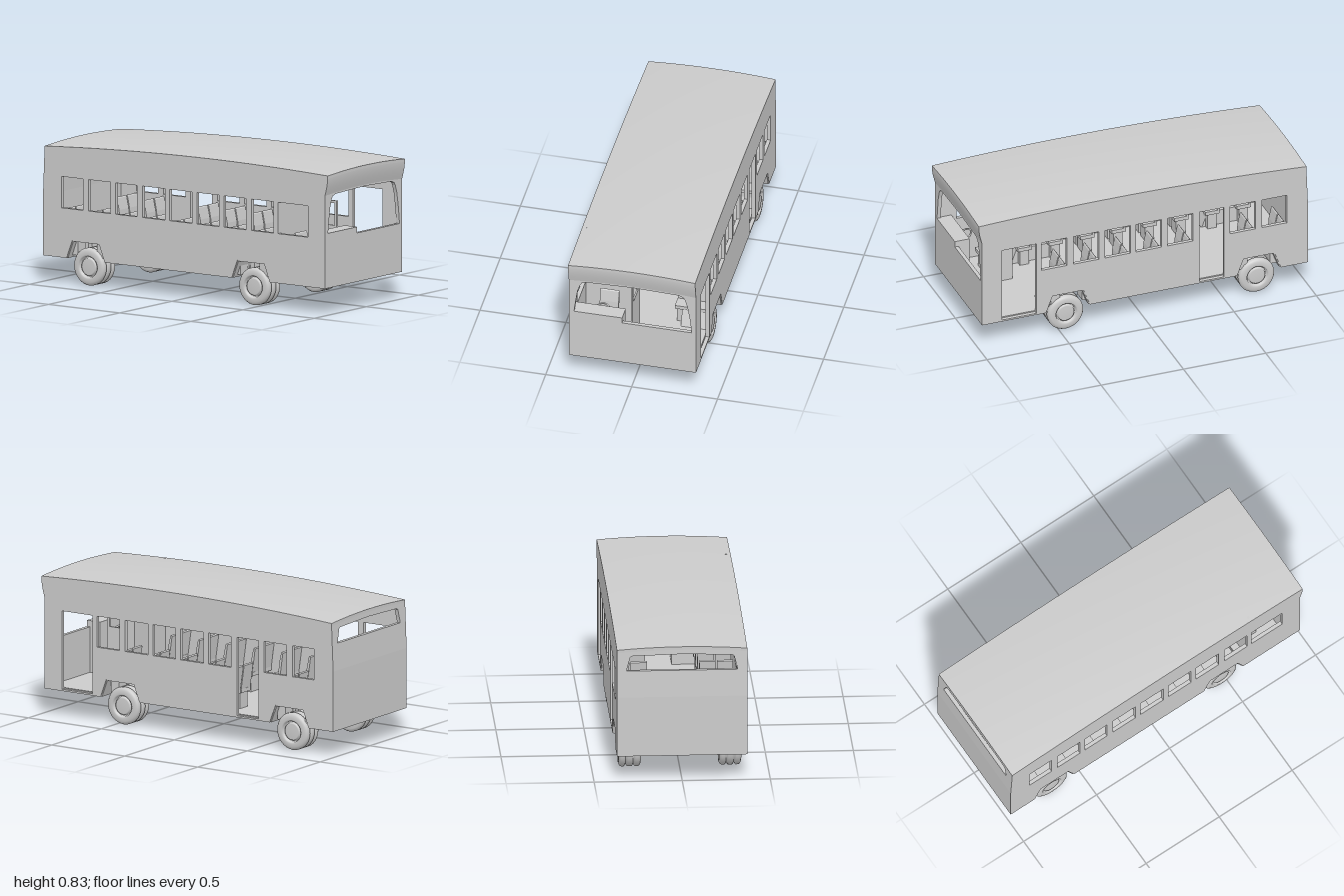
import * as THREE from 'three';

const W = 0.37, WALL = 0.022, BASE = 0.15, FLOOR = 0.165;
const AXLES = [0.46, -0.7];
const grey = new THREE.MeshStandardMaterial({ color: 0xcccccc, side: THREE.DoubleSide });

// Roof height at the side walls, and the extra height towards the middle
const eave = z => 0.818 - 0.028 * (z - 0.2) ** 2;
const crown = x => 0.015 * (1 - (x / W) ** 2);

const pts = list => list.map(([x, y]) => new THREE.Vector2(x, y));
const rect = (x0, x1, y0, y1) => [[x0, y0], [x1, y0], [x1, y1], [x0, y1]];

function part(parent, name, geometry, x = 0, y = 0, z = 0) {
  const mesh = new THREE.Mesh(geometry, grey);
  mesh.name = name;
  mesh.position.set(x, y, z);
  parent.add(mesh);
  return mesh;
}

function plate(outline, holes, depth) {
  const shape = new THREE.Shape(pts(outline));
  holes.forEach(h => shape.holes.push(new THREE.Path(pts(h))));
  return new THREE.ExtrudeGeometry(shape, { depth, bevelEnabled: false });
}

// Plate drawn in (z, y), its outer face at x = 0 and its thickness towards -x
const sidePlate = (outline, holes, depth) => plate(outline, holes, depth).rotateY(-Math.PI / 2);

function reshape(geometry, rule) {
  const p = geometry.attributes.position, v = new THREE.Vector3();
  for (let i = 0; i < p.count; i++) {
    rule(v.fromBufferAttribute(p, i));
    p.setXYZ(i, v.x, v.y, v.z);
  }
  geometry.computeVertexNormals();
  return geometry;
}

const arch = c => [[c - 0.135, BASE], [c - 0.095, 0.255], [c + 0.095, 0.255], [c + 0.135, BASE]];

function sideWall(doors) {
  const outline = [[-0.997, BASE], ...arch(AXLES[1]), ...arch(AXLES[0]),
    [0.977, BASE], [0.977, 0.68], [0.992, 0.77], [0.996, eave(1) - 0.004]];
  for (let z = 0.8; z > -0.95; z -= 0.2) outline.push([z, eave(z) - 0.004]);
  outline.push([-0.985, eave(-1) - 0.004], [-0.997, 0.5]);
  const spans = [[0.65, 0.86], [0.465, 0.62], [0.27, 0.425], [0.08, 0.235], [-0.11, 0.045],
    [-0.3, -0.145], [-0.49, -0.34], [-0.68, -0.525], [-0.87, -0.72]];
  const holes = spans.map(([a, b], i) => rect(a, b, doors.includes(i) ? FLOOR - 0.005 : 0.435, 0.615));
  return sidePlate(outline, holes, WALL);
}

function buildBody(g) {
  part(g, 'doorSideWall', sideWall([0, 6]), W);
  part(g, 'driverSideWall', sideWall([]), -W + WALL);

  // Front wall with a stepped windscreen opening
  const top = [];
  for (let x = W; x >= -W - 0.001; x -= W / 4) top.push([x, 0.685 + crown(x)]);
  const screen = [[-0.34, 0.465], [-0.06, 0.465], [-0.06, 0.43], [0.345, 0.43], [0.335, 0.52],
    [0.32, 0.61], [0.305, 0.655], [0.295, 0.672], [0.27, 0.682], [0, 0.69],
    [-0.27, 0.682], [-0.295, 0.672], [-0.305, 0.655], [-0.32, 0.61], [-0.333, 0.52]];
  part(g, 'frontWall', plate([[-W, BASE], [W, BASE], ...top], [screen], WALL), 0, 0, 0.98 - WALL);

  // Header leaning out over the windscreen
  const header = new THREE.BoxGeometry(2 * W, 1, WALL, 12, 6, 1);
  part(g, 'frontHeader', reshape(header, v => {
    const t = v.y + 0.5;
    v.y = 0.683 + t * (eave(1) - 0.687) + crown(v.x);
    v.z += 0.98 - WALL / 2 + 0.02 * Math.sin(t * Math.PI / 2);
  }));

  // Back wall, its upper half leaning slightly inwards
  part(g, 'backWallLower', new THREE.BoxGeometry(2 * W, 0.35, WALL), 0, 0.325, -1 + WALL / 2);
  const backTop = [];
  for (let x = W; x >= -W - 0.001; x -= W / 4) backTop.push([x, eave(-1) - 0.004 + crown(x)]);
  const backWindow = [[-0.315, 0.655], [0.315, 0.655], [0.312, 0.672], [0.295, 0.735],
    [0.285, 0.742], [0, 0.75], [-0.285, 0.742], [-0.295, 0.735], [-0.312, 0.672]];
  const upper = plate([[-W, 0.5], [W, 0.5], ...backTop], [backWindow], WALL);
  part(g, 'backWallUpper', reshape(upper, v => { v.z += (v.y - 0.5) * 0.04; }), 0, 0, -1);

  // Roof curved along its length and across its width
  const roof = new THREE.BoxGeometry(2 * W, 0.018, 1.99, 16, 1, 24);
  part(g, 'roof', reshape(roof, v => {
    v.z += 0.005;
    v.y += eave(v.z) + crown(v.x) - 0.009;
  }));

  // Floor with cut-outs for the wheel wells
  const half = [[0.345, -0.985]];
  [...AXLES].reverse().forEach(c => half.push([0.345, c - 0.135], [0.19, c - 0.135],
    [0.19, c + 0.135], [0.345, c + 0.135]));
  half.push([0.345, 0.965]);
  const outline = [...half, ...half.map(([x, z]) => [-x, z]).reverse()];
  part(g, 'floor', plate(outline, [], 0.015).rotateX(Math.PI / 2), 0, FLOOR, 0);
}

function buildWheels(g) {
  // Tyre with three ribs, then the dished hub; axis along y, outer face on top
  const profile = [[0, 0], [0.06, 0], [0.09, 0.002], [0.102, 0.008], [0.108, 0.018], [0.108, 0.032],
    [0.103, 0.039], [0.093, 0.044], [0.103, 0.049], [0.108, 0.055], [0.108, 0.076],
    [0.103, 0.082], [0.093, 0.087], [0.103, 0.092], [0.108, 0.098], [0.108, 0.112], [0.102, 0.122],
    [0.09, 0.128], [0.07, 0.13], [0.062, 0.126], [0.06, 0.112], [0.052, 0.112], [0.05, 0.122],
    [0.044, 0.126], [0, 0.126]];
  const wheel = new THREE.LatheGeometry(pts(profile), 32).rotateZ(-Math.PI / 2);
  for (const z of AXLES) {
    // Shell over the wheel, closed on its inner side
    const outer = arch(0), inner = outer.map(([a, y]) => [a * 0.95, y === BASE ? y : y - 0.006]);
    const shell = sidePlate([...outer, ...inner.reverse()], [], 0.175);
    const cap = sidePlate(outer, [], 0.006);
    for (const side of [1, -1]) {
      const corner = new THREE.Group();
      corner.name = (z > 0 ? 'front' : 'rear') + (side > 0 ? 'Left' : 'Right') + 'WheelAssembly';
      corner.position.z = z;
      corner.rotation.y = side > 0 ? 0 : Math.PI;
      part(corner, 'wheel', wheel, 0.22, 0.108);
      part(corner, 'axleStub', new THREE.CylinderGeometry(0.025, 0.025, 0.04, 16).rotateZ(Math.PI / 2), 0.205, 0.108);
      part(corner, 'wheelWell', shell, 0.365);
      part(corner, 'wheelWellInnerWall', cap, 0.196);
      g.add(corner);
    }
  }
}

function seat(g, name, x, z, width) {
  const s = new THREE.Group();
  s.name = name;
  s.position.set(x, FLOOR, z);
  part(s, 'pedestal', new THREE.BoxGeometry(width * 0.8, 0.095, 0.055), 0, 0.047, 0.01);
  part(s, 'cushion', new THREE.BoxGeometry(width, 0.022, 0.085), 0, 0.105, 0.01);
  const back = [[-0.02, 0.115], [-0.032, 0.115], [-0.052, 0.255], [-0.046, 0.262], [-0.04, 0.255], [-0.026, 0.19]];
  part(s, 'backrest', sidePlate(back, [], width), width / 2);
  g.add(s);
}

function buildInterior(g) {
  // Two seats on each side of the aisle, with a gap at the rear door
  for (let row = 0; row < 8; row++) {
    const z = 0.51 - row * 0.19;
    for (const x of [0.195, 0.295]) {
      if (row !== 5) seat(g, 'passengerSeat', x, z, 0.092);
      seat(g, 'passengerSeat', -x, z, 0.092);
    }
  }

  // Driver's cabin
  part(g, 'cabinRearWall', new THREE.BoxGeometry(0.315, 0.65, 0.012), -0.1925, 0.49, 0.645);
  part(g, 'cabinDoor', sidePlate(rect(0.65, 0.825, FLOOR, 0.597), [rect(0.69, 0.81, 0.455, 0.582)], 0.01), -0.035);
  part(g, 'dashboard', new THREE.BoxGeometry(0.288, 0.3, 0.07), -0.204, 0.315, 0.925);
  seat(g, 'driverSeat', -0.2, 0.73, 0.11);
  const steering = part(g, 'steeringWheel', new THREE.TorusGeometry(0.042, 0.005, 8, 24), -0.2, 0.41, 0.865);
  steering.rotation.x = -0.9;
  const column = part(g, 'steeringColumn', new THREE.CylinderGeometry(0.006, 0.006, 0.06, 10), -0.2, 0.393, 0.885);
  column.rotation.x = -0.85;
}

export function createModel() {
  const bus = new THREE.Group();
  bus.name = 'bus';
  for (const [name, build] of [['body', buildBody], ['wheels', buildWheels], ['interior', buildInterior]]) {
    const g = new THREE.Group();
    g.name = name;
    build(g);
    bus.add(g);
  }
  return bus;
}
